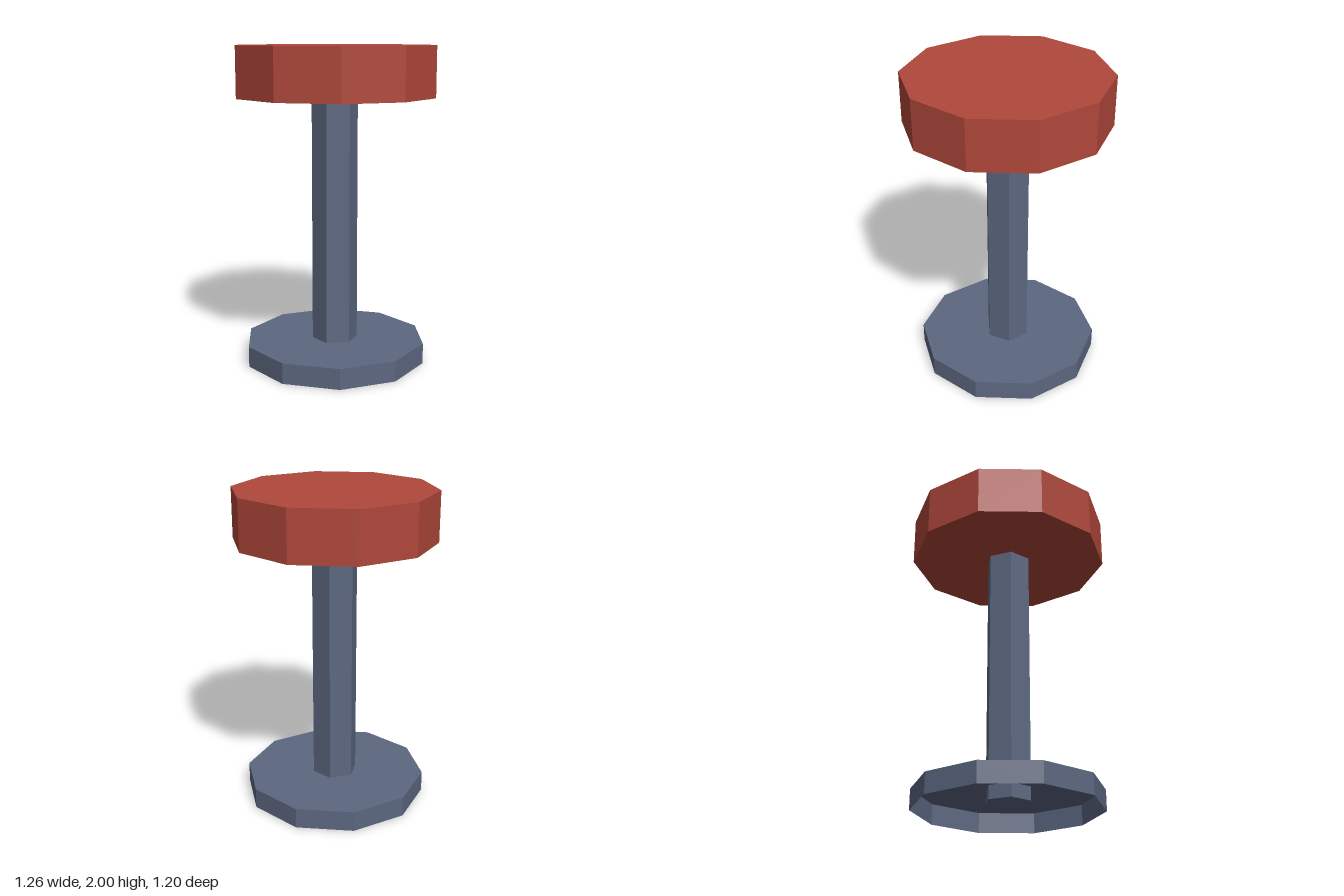
import * as THREE from 'three';

export function createModel() {
  const model = new THREE.Group();
  model.name = 'stool';

  const red = new THREE.MeshStandardMaterial({ color: 0xb0473a, flatShading: true });
  red.name = 'red seat';
  const steel = new THREE.MeshStandardMaterial({ color: 0x5c6780, flatShading: true, side: THREE.DoubleSide });
  steel.name = 'blue grey metal';

  const add = (name, geometry, material) => {
    const mesh = new THREE.Mesh(geometry, material);
    mesh.name = name;
    model.add(mesh);
  };

  // Upright prism between two heights, with corners on the x axis
  const prism = (radius, bottom, top, sides) =>
    new THREE.CylinderGeometry(radius, radius, top - bottom, sides)
      .rotateY(Math.PI / 2)
      .translate(0, (bottom + top) / 2, 0);

  add('seat', prism(0.63, 1.685, 2, 10), red);

  // The column reaches into the seat and down into the hollow base
  add('column', prism(0.145, 0.045, 1.75, 6), steel);

  // Base: a thin shell, open underneath
  const rim = [[0.58, 0], [0.58, 0.13], [0, 0.13]].map(([x, y]) => new THREE.Vector2(x, y));
  add('base', new THREE.LatheGeometry(rim, 10, Math.PI / 2), steel);

  return model;
}
